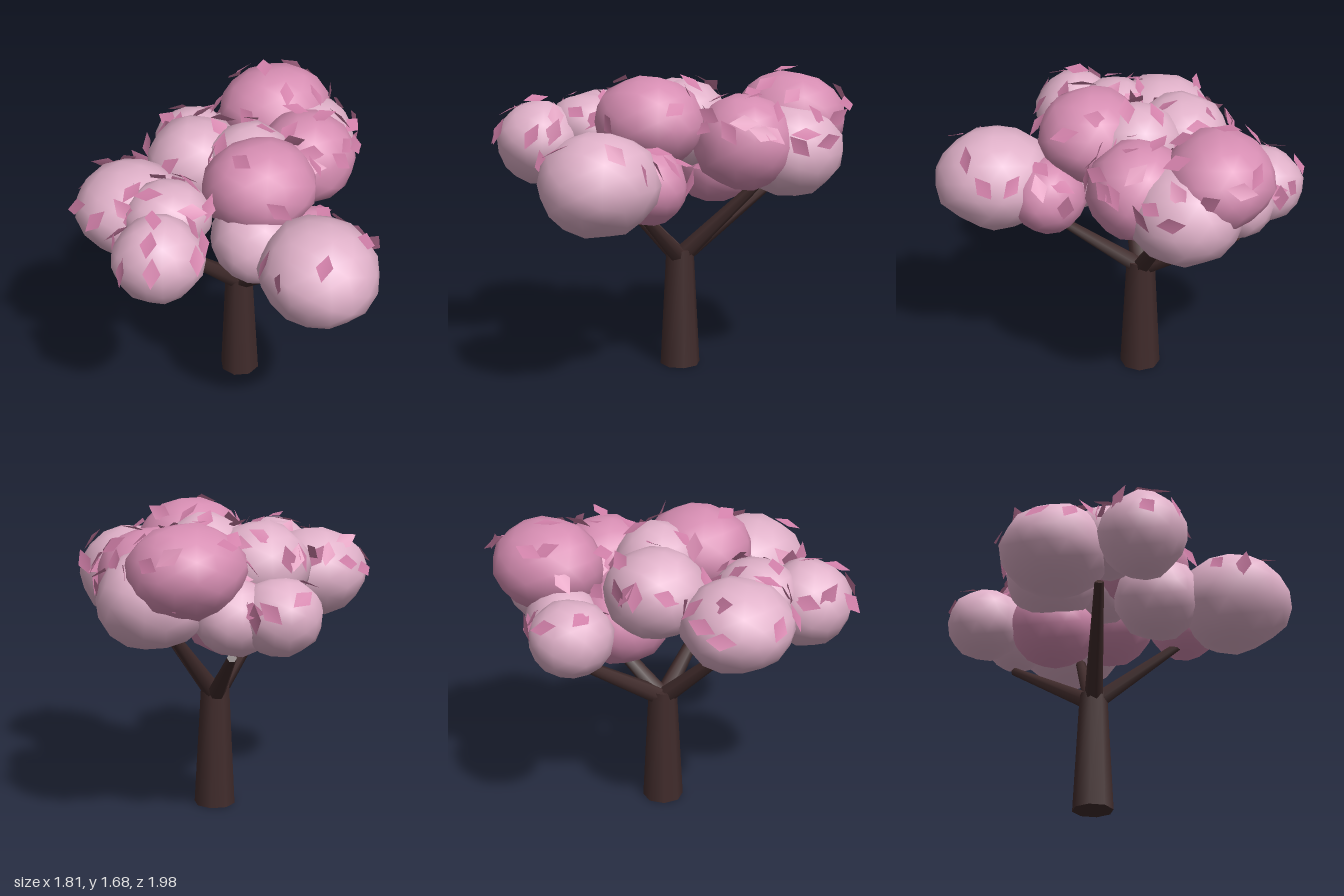
import * as THREE from 'three';
import { mergeVertices, mergeGeometries } from 'three/addons/utils/BufferGeometryUtils.js';

const mat = (name, color, side = THREE.FrontSide) => {
  const m = new THREE.MeshStandardMaterial({ color, side });
  m.name = name;
  return m;
};

// Small seeded generator
function seeded(seed) {
  return () => {
    seed = (seed * 16807) % 2147483647;
    return seed / 2147483647;
  };
}

// Low-poly ball with uneven corners and smooth normals
function puffGeometry(rand) {
  let g = new THREE.IcosahedronGeometry(1, 2);
  g.deleteAttribute('uv');
  g.deleteAttribute('normal');
  g = mergeVertices(g, 1e-3);
  const p = g.attributes.position;
  for (let i = 0; i < p.count; i++) {
    const s = 0.96 + rand() * 0.07;
    p.setXYZ(i, p.getX(i) * s, p.getY(i) * s, p.getZ(i) * s);
  }
  g.computeVertexNormals();
  return g;
}

// Tapered limb between two points
function limb(name, a, b, r0, r1, sides, material) {
  const from = new THREE.Vector3(...a), to = new THREE.Vector3(...b);
  const dir = to.clone().sub(from);
  const mesh = new THREE.Mesh(new THREE.CylinderGeometry(r1, r0, dir.length(), sides), material);
  mesh.position.copy(from).add(to).multiplyScalar(0.5);
  mesh.quaternion.setFromUnitVectors(new THREE.Vector3(0, 1, 0), dir.normalize());
  mesh.name = name;
  return mesh;
}

// Diamond leaf lying in the XY plane
function leafGeometry() {
  const g = new THREE.BufferGeometry();
  g.setAttribute('position', new THREE.Float32BufferAttribute(
    [0, -0.08, 0, 0.045, 0, 0.006, 0, 0.08, 0, -0.045, 0, 0.006], 3));
  g.setIndex([0, 1, 2, 0, 2, 3]);
  g.computeVertexNormals();
  return g;
}

// Foliage balls: centre, radii, whether deep pink
const puffs = [
  [[0.05, 1.19, 0.66], [0.31, 0.27, 0.33], false],
  [[-0.08, 1.19, 0.26], [0.25, 0.23, 0.25], false],
  [[0, 1.43, 0.14], [0.31, 0.25, 0.29], true],
  [[0.44, 1.33, -0.12], [0.28, 0.26, 0.275], true],
  [[0.48, 1.42, -0.525], [0.32, 0.25, 0.29], true],
  [[0.56, 1.27, -0.36], [0.31, 0.26, 0.3], false],
  [[0.08, 1.19, -0.765], [0.225, 0.2, 0.228], false],
  [[0.26, 1.185, -0.63], [0.22, 0.2, 0.2], false],
  [[-0.12, 1.36, -0.335], [0.28, 0.24, 0.27], false],
  [[0.07, 1.4, -0.1], [0.245, 0.24, 0.245], false],
  [[-0.575, 1.27, -0.22], [0.305, 0.24, 0.3], false],
  [[-0.66, 1.27, 0.26], [0.24, 0.235, 0.237], false],
  [[-0.49, 1.34, 0.04], [0.24, 0.19, 0.215], false],
  [[0.15, 1.14, 0.375], [0.215, 0.205, 0.212], true],
  [[0.1, 1.15, -0.37], [0.255, 0.23, 0.255], true],
];

// Leaf spots as x, z pairs seen from above
const spots = [
  -0.48, -0.45, -0.58, -0.5, -0.63, -0.41, -0.88, -0.26, -0.87, -0.08, -0.64, -0.07,
  -0.47, -0.1, -0.35, -0.05, -0.71, -0.02, -0.6, 0.05, -0.37, 0.05, -0.44, 0.21,
  -0.68, 0.26, -0.79, 0.45, -0.76, 0.37, -0.55, 0.46, -0.79, 0.08, -0.5, 0.32,
  -0.05, -0.82, 0.08, -0.95, 0.26, -0.93, 0.29, -0.82, 0.39, -0.74, 0.32, -0.69,
  -0.21, -0.61, -0.34, -0.5, -0.02, -0.48, 0.14, -0.5, 0.08, -0.42, -0.03, -0.25,
  0.14, -0.2, -0.1, -0.09, 0.24, -0.29, 0.14, -0.05, -0.14, 0.2, 0.21, 0.11,
  0.3, -0.07, 0.35, 0.08, 0.43, -0.21, 0.51, -0.08, 0.64, -0.11, 0.68, 0,
  0.5, 0.13, 0.56, 0.08, 0.44, -0.34, 0.43, -0.56, 0.61, -0.32, 0.76, -0.32,
  0.78, -0.63, 0.88, -0.28, 0.77, -0.19, 0.3, 0.29, 0.23, 0.4, 0.32, 0.4,
  -0.23, 0.61, -0.26, 0.76, -0.05, 0.87, 0.24, 0.78, 0.37, 0.69, 0.37, 0.53,
];

// Highest foliage point over a spot, or the nearest flank beside it
function surfaceAt(x, z) {
  const hits = puffs.map(([c, r]) => {
    const u = (x - c[0]) / r[0], v = (z - c[2]) / r[2], d = Math.hypot(u, v);
    const k = Math.min(1, 0.95 / d), h = Math.sqrt(1 - (d * k) ** 2);
    return { d, y: c[1] + r[1] * h, n: new THREE.Vector3(u * k, h, v * k), c, r };
  });
  const over = hits.filter((h) => h.d < 1).sort((a, b) => b.y - a.y);
  return over[0] ?? hits.sort((a, b) => a.d - b.d)[0];
}

export function createModel() {
  const tree = new THREE.Group();
  tree.name = 'blossomTree';
  const rand = seeded(4711);
  const bark = mat('bark', 0x402b2b);
  const pale = mat('paleBlossom', 0xdfb0c8);
  const deep = mat('deepBlossom', 0xd68db2);
  const petal = mat('petal', 0xd07fa8, THREE.DoubleSide);

  // Trunk and four branches
  tree.add(limb('trunk', [0.025, 0.01, -0.125], [0.022, 0.68, -0.125], 0.113, 0.078, 8, bark));
  const fork = [0.02, 0.63, -0.125];
  [
    [-0.49, 1.11, 0.0],
    [0.09, 0.98, 0.35],
    [0.45, 1.1, -0.29],
    [0.28, 0.98, -0.64],
  ].forEach((tip, i) => tree.add(limb(`branch${i + 1}`, fork, tip, 0.053, 0.026, 6, bark)));

  // Foliage
  const foliage = new THREE.Group();
  foliage.name = 'foliage';
  puffs.forEach(([c, r, isDeep], i) => {
    const puff = new THREE.Mesh(puffGeometry(rand), isDeep ? deep : pale);
    puff.position.set(...c);
    puff.scale.set(...r);
    puff.name = `puff${i + 1}`;
    foliage.add(puff);
  });
  tree.add(foliage);

  // Loose petals lying on the foliage, each tilted a little
  const leaf = leafGeometry();
  const leaves = [];
  const dummy = new THREE.Object3D();
  const addLeaf = (n, c, r) => {
    dummy.position.set(...c.map((v, i) => v + n.getComponent(i) * r[i] * 1.04));
    dummy.lookAt(dummy.position.clone().add(n));
    dummy.rotateZ(rand() * Math.PI);
    dummy.rotateX((rand() - 0.5) * 1.1);
    dummy.rotateY((rand() - 0.5) * 0.9);
    dummy.updateMatrix();
    leaves.push(leaf.clone().applyMatrix4(dummy.matrix));
  };
  for (let i = 0; i < spots.length; i += 2) {
    const { n, c, r } = surfaceAt(spots[i], spots[i + 1]);
    addLeaf(n, c, r);
  }

  // A few more petals around the flanks
  puffs.slice(2).forEach(([c, r]) => {
    for (let k = 0; k < 4; k++) {
      const a = (k + rand()) * Math.PI / 2, h = 0.1 + rand() * 0.4, w = Math.sqrt(1 - h * h);
      const n = new THREE.Vector3(Math.cos(a) * w, h, Math.sin(a) * w);
      if (c[2] + n.z * r[2] > -0.94) addLeaf(n, c, r);
    }
  });
  const petals = new THREE.Mesh(mergeGeometries(leaves), petal);
  petals.name = 'petals';
  tree.add(petals);
  return tree;
}
